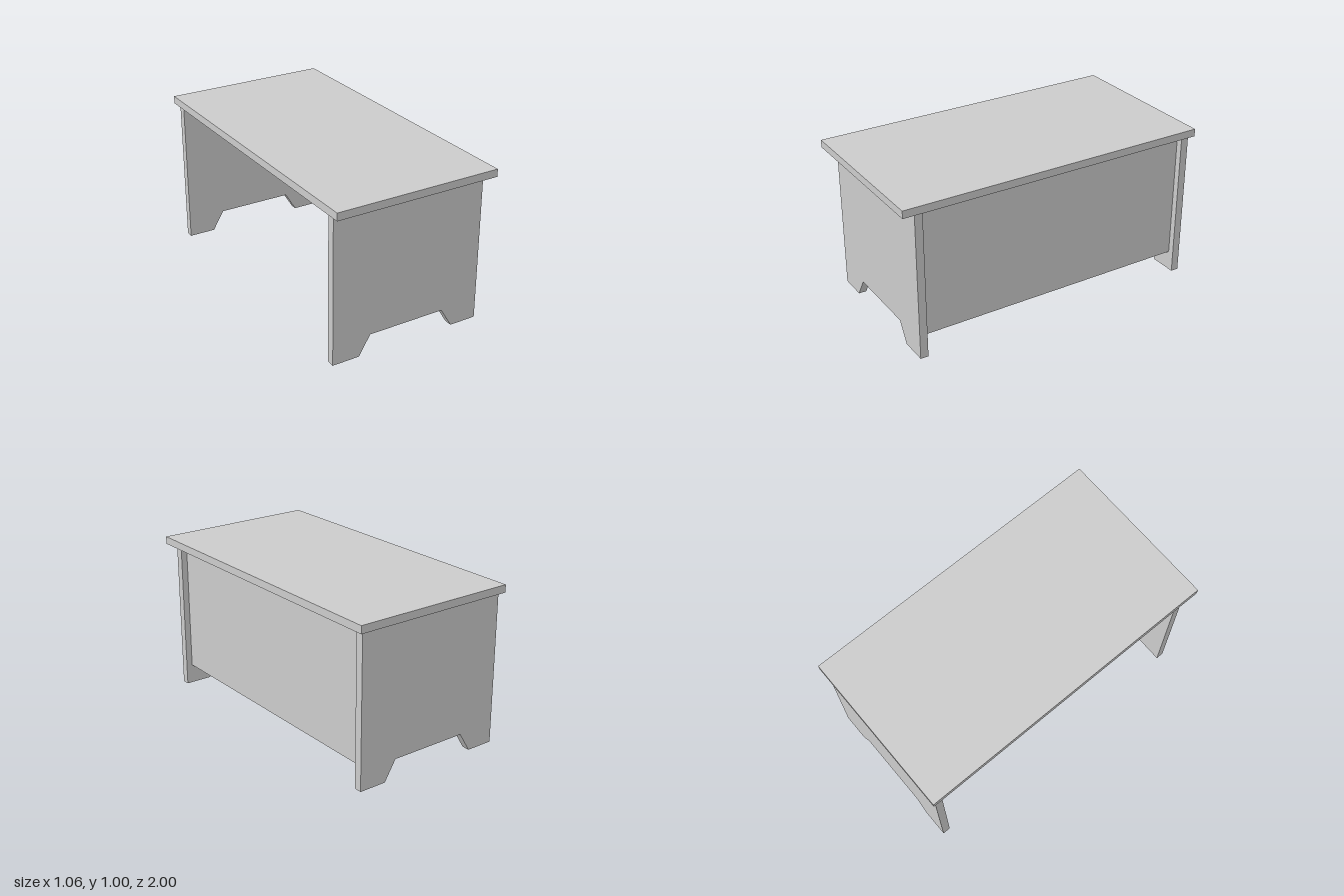
import * as THREE from 'three';

const material = new THREE.MeshStandardMaterial({ color: 0xcccccc, flatShading: true });
const THICKNESS = 0.05;
const UNDERSIDE = 0.952; // bottom of the desktop
const FRONT_PANEL_Z = 0.89;
const BACK_PANEL_Z = -0.95;

function addMesh(group, name, geometry, x, y, z) {
  const mesh = new THREE.Mesh(geometry, material);
  mesh.name = name;
  mesh.position.set(x, y, z);
  group.add(mesh);
}

// End panel with a trapezoid cut-out that leaves two feet
function endPanelGeometry() {
  const outline = [
    [-0.5, 0], [-0.325, 0], [-0.25, 0.124], [0.25, 0.124],
    [0.325, 0], [0.5, 0], [0.5, UNDERSIDE], [-0.5, UNDERSIDE],
  ];
  const shape = new THREE.Shape(outline.map(([x, y]) => new THREE.Vector2(x, y)));
  const geometry = new THREE.ExtrudeGeometry(shape, { depth: THICKNESS, bevelEnabled: false });
  return geometry.translate(0, 0, -THICKNESS / 2);
}

export function createModel() {
  const group = new THREE.Group();
  group.name = 'desk';

  // Desktop slab
  const topHeight = 1 - UNDERSIDE;
  addMesh(group, 'desktop', new THREE.BoxGeometry(1.06, topHeight, 2), 0, 1 - topHeight / 2, 0);

  // Two end panels
  const panel = endPanelGeometry();
  addMesh(group, 'frontEndPanel', panel, 0, 0, FRONT_PANEL_Z);
  addMesh(group, 'backEndPanel', panel, 0, 0, BACK_PANEL_Z);

  // Modesty panel between them, set slightly in from the left edge
  const bottom = 0.125;
  const length = FRONT_PANEL_Z - BACK_PANEL_Z - THICKNESS;
  addMesh(group, 'modestyPanel',
    new THREE.BoxGeometry(THICKNESS, UNDERSIDE - bottom, length),
    0.435, (UNDERSIDE + bottom) / 2, (FRONT_PANEL_Z + BACK_PANEL_Z) / 2);

  return group;
}
